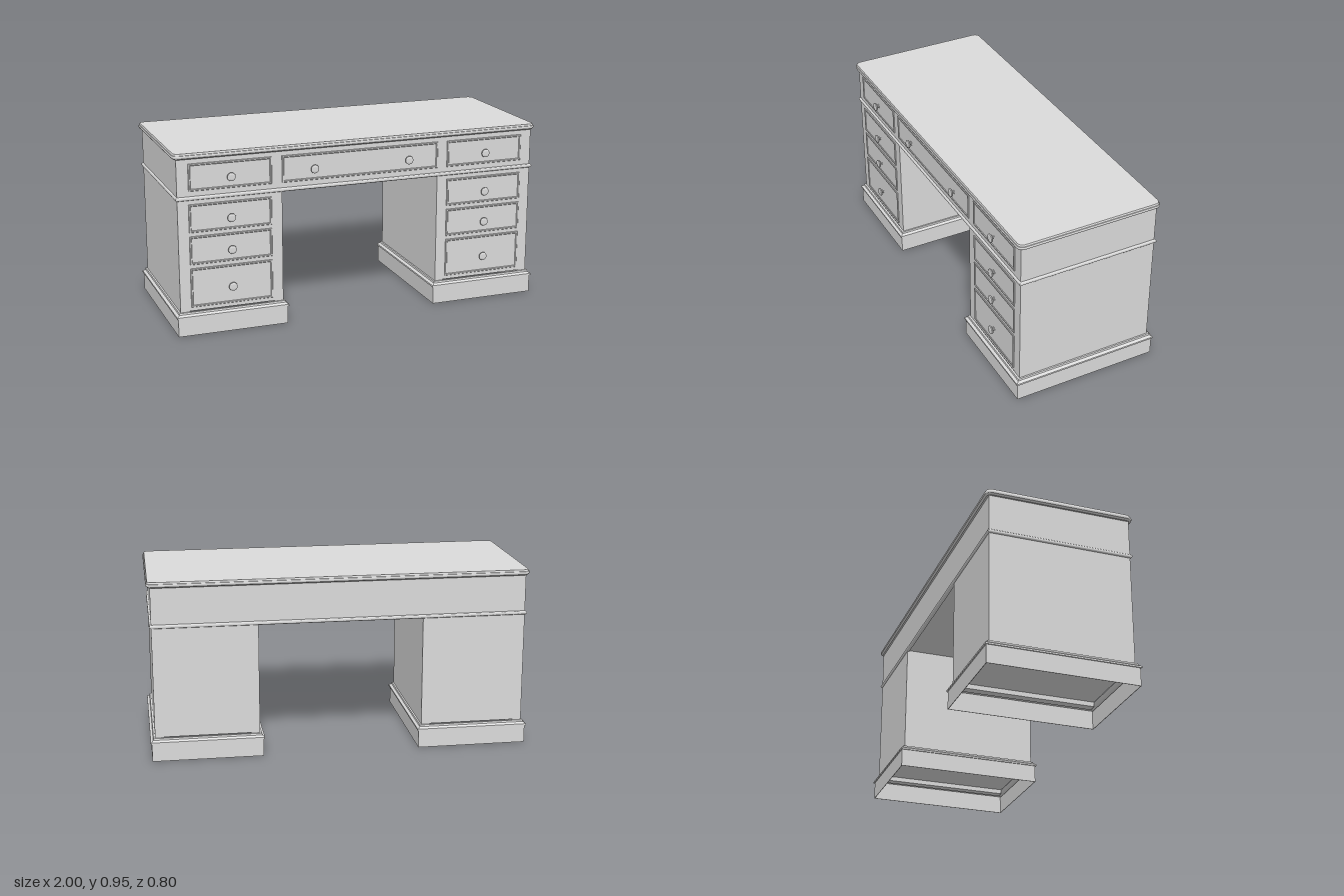
import * as THREE from 'three';
import { toCreasedNormals } from 'three/addons/utils/BufferGeometryUtils.js';

const paint = new THREE.MeshStandardMaterial({ color: 0xdbdbdb });
paint.name = 'plain grey';

// Sweep a profile of [outset, height] points around a rectangle with optional round corners.
function sweep(halfW, halfD, profile, { radius = 0, caps = false, crease = 0.6 } = {}) {
  const steps = radius ? 6 : 0;
  const around = 4 * (steps + 1);
  const pos = [], index = [];
  for (const [out, y] of profile) {
    for (let c = 0; c < 4; c++) {
      const sx = c === 0 || c === 3 ? 1 : -1;
      const sz = c < 2 ? -1 : 1;
      const r = radius ? radius + out : 0;
      for (let s = 0; s <= steps; s++) {
        const a = (c + (steps ? s / steps : 0)) * Math.PI / 2;
        const x = sx * (halfW + out - r) + r * Math.cos(a);
        const z = sz * (halfD + out - r) - r * Math.sin(a);
        pos.push(x, y, z);
      }
    }
  }
  for (let k = 0; k < profile.length - 1; k++) {
    for (let i = 0; i < around; i++) {
      const j = (i + 1) % around;
      const a = k * around + i, b = k * around + j;
      index.push(a, b, b + around, a, b + around, a + around);
    }
  }
  if (caps) {
    const last = (profile.length - 1) * around;
    const bottom = pos.length / 3;
    pos.push(0, profile[0][1], 0, 0, profile[profile.length - 1][1], 0);
    for (let i = 0; i < around; i++) {
      const j = (i + 1) % around;
      index.push(bottom, j, i, bottom + 1, last + i, last + j);
    }
  }
  const geo = new THREE.BufferGeometry();
  geo.setAttribute('position', new THREE.Float32BufferAttribute(pos, 3));
  geo.setIndex(index);
  return toCreasedNormals(geo, crease);
}

function add(parent, name, geo, x = 0, y = 0, z = 0) {
  const mesh = new THREE.Mesh(geo, paint);
  mesh.name = name;
  mesh.position.set(x, y, z);
  parent.add(mesh);
}

const FRONT = 0.374;

// Turned knob pointing forward
const knobProfile = [[0.012, 0], [0.011, 0.003], [0.007, 0.005], [0.006, 0.012], [0.015, 0.013],
  [0.020, 0.015], [0.0225, 0.019], [0.0215, 0.024], [0.017, 0.027], [0.009, 0.028], [0, 0.028]];
const knobGeo = toCreasedNormals(
  new THREE.LatheGeometry(knobProfile.map(p => new THREE.Vector2(...p)), 20).rotateX(Math.PI / 2), 0.7);

// Drawer front with a raised border and its knobs, which sit a little below the middle
function addDrawer(parent, x, y0, y1, halfW, knobY, knobXs) {
  const drawer = new THREE.Group();
  drawer.name = 'drawer';
  const middle = (y0 + y1) / 2;
  drawer.position.set(x, middle, FRONT);
  const profile = [[0, -0.003], [0, 0.003], [-0.002, 0.005], [-0.008, 0.005], [-0.011, 0.002]];
  const geo = sweep(halfW, (y1 - y0) / 2, profile, { caps: true, crease: 0.3 }).rotateX(Math.PI / 2);
  add(drawer, 'drawerFront', geo);
  for (const kx of knobXs) add(drawer, 'knob', knobGeo, kx, knobY - middle, 0);
  parent.add(drawer);
}

function addPedestal(parent, side) {
  const pedestal = new THREE.Group();
  pedestal.name = side > 0 ? 'leftPedestal' : 'rightPedestal';
  pedestal.position.x = side * 0.7025;
  add(pedestal, 'pedestalCase', new THREE.BoxGeometry(0.545, 0.585, 2 * FRONT), 0, 0.4175, 0);
  // Lower ends of the side boards, which reach below the bottom board
  for (const s of [-1, 1]) {
    add(pedestal, 'sideBoardFoot', new THREE.BoxGeometry(0.045, 0.025, 2 * FRONT), s * 0.25, 0.1125, 0);
  }

  // Hollow thin-walled plinth with a moulded upper edge
  add(pedestal, 'plinth', sweep(0.29, 0.393, [[0, 0], [0, 0.095], [0.006, 0.095], [0.006, 0.104],
    [0, 0.107], [-0.007, 0.113], [-0.009, 0.122], [-0.02, 0.122], [-0.012, 0.111], [-0.003, 0.105],
    [0.003, 0.103], [0.003, 0.098], [-0.003, 0.098], [-0.003, 0], [0, 0]], { crease: 0.5 }));

  for (const [y0, y1, knobY] of [[0.145, 0.35, 0.237], [0.37, 0.518, 0.433], [0.538, 0.684, 0.601]]) {
    addDrawer(pedestal, 0, y0, y1, 0.216, knobY, [0]);
  }
  parent.add(pedestal);
}

export function createModel() {
  const desk = new THREE.Group();
  desk.name = 'pedestalDesk';

  for (const side of [-1, 1]) addPedestal(desk, side);

  // Upper drawer case
  add(desk, 'upperCase', new THREE.BoxGeometry(1.95, 0.209, 2 * FRONT), 0, 0.8145, 0);
  addDrawer(desk, 0, 0.752, 0.892, 0.43, 0.812, [-0.26, 0.26]);
  for (const side of [-1, 1]) addDrawer(desk, side * 0.7, 0.752, 0.892, 0.216, 0.812, [0]);

  // Half-round bead between the upper case and the pedestals
  const bead = [[-0.01, 0.705]];
  for (let i = 0; i <= 8; i++) {
    const a = -Math.PI / 2 + i * Math.PI / 8;
    bead.push([0.009 * Math.cos(a), 0.715 + 0.01 * Math.sin(a)]);
  }
  bead.push([-0.01, 0.725], [-0.01, 0.705]);
  add(desk, 'beadMoulding', sweep(0.975, FRONT, bead, { crease: 0.7 }));

  // Desk top with rounded corners and a stepped, rounded edge
  const edge = [[-0.012, 0.917], [-0.007, 0.921], [-0.002, 0.924], [0, 0.929], [0, 0.934],
    [-0.002, 0.938], [-0.005, 0.939], [-0.005, 0.943], [-0.008, 0.948], [-0.012, 0.948]];
  add(desk, 'deskTop', sweep(0.995, 0.395, edge, { radius: 0.035, caps: true }));

  return desk;
}
